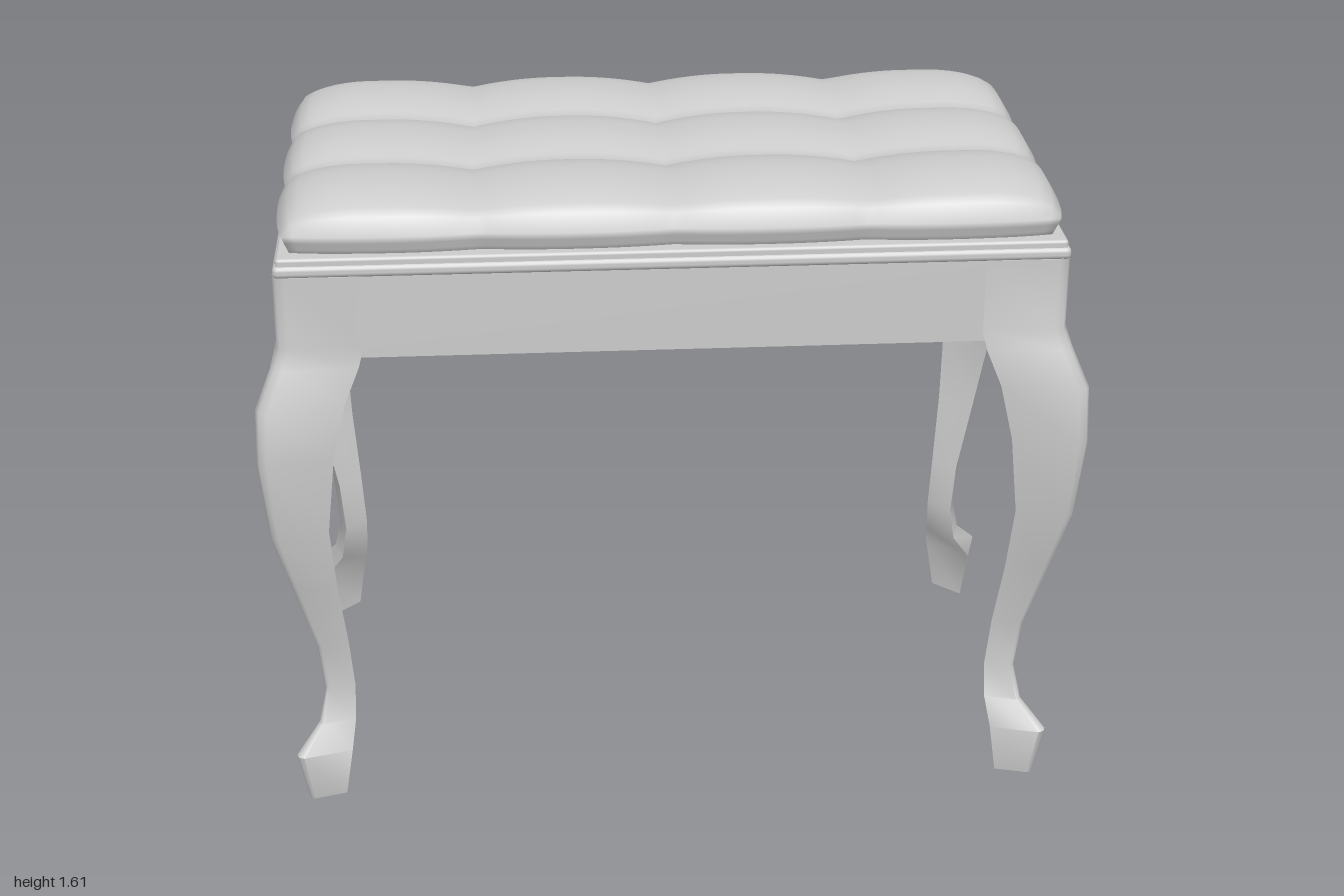
import * as THREE from 'three';
import { mergeVertices, toCreasedNormals } from 'three/addons/utils/BufferGeometryUtils.js';
import { RoundedBoxGeometry } from 'three/addons/geometries/RoundedBoxGeometry.js';

const material = new THREE.MeshStandardMaterial({ color: 0xcccccc });

function part(name, geometry, y = 0) {
  const mesh = new THREE.Mesh(geometry, material);
  mesh.name = name;
  mesh.position.y = y;
  return mesh;
}

// Cabriole leg: [height, outer, inner, slant of the two outer faces], symmetric about its diagonal
function legGeometry() {
  const sections = [
    [1.43, 0.54, 0.335, 0], [1.25, 0.54, 0.335, 0], [1.2, 0.557, 0.348, 0.08],
    [1.11, 0.595, 0.385, 0.2], [0.97, 0.6, 0.418, 0.25], [0.77, 0.58, 0.44, 0.25],
    [0.6, 0.537, 0.43, 0.25], [0.42, 0.49, 0.412, 0.25], [0.29, 0.476, 0.402, 0.25],
    [0.2, 0.495, 0.404, 0.25], [0.135, 0.553, 0.414, 0.25], [0, 0.528, 0.435, 0.25],
  ];
  const n = 5;
  const positions = [];
  const index = [];
  sections.forEach(([y, o, i, slant], k) => {
    const w = o - i;
    const a = o - slant * w;
    const r = 0.14 * w;
    const m = o - 0.3 * r;
    for (const [x, z] of [[i, a], [o - r, o], [m, m], [o, o - r], [a, i]]) positions.push(x, y, z);
    if (k === 0) return;
    for (let j = 0; j < n; j++) {
      const p = (k - 1) * n + j;
      const q = (k - 1) * n + ((j + 1) % n);
      index.push(p, p + n, q + n, p, q + n, q);
    }
  });
  const last = (sections.length - 1) * n;
  for (let j = 1; j < n - 1; j++) {
    index.push(0, j, j + 1, last, last + j + 1, last + j);
  }
  const g = new THREE.BufferGeometry();
  g.setAttribute('position', new THREE.Float32BufferAttribute(positions, 3));
  g.setIndex(index);
  return toCreasedNormals(g, 0.85);
}

// Tufted cushion: a box shaped into a padded top with grooves and rolled edges
function cushionGeometry() {
  const W = 0.935, D = 0.525;
  const box = new THREE.BoxGeometry(2 * W, 1, 2 * D, 72, 3, 44);
  box.deleteAttribute('uv');
  box.deleteAttribute('normal');
  const g = mergeVertices(box, 1e-4);
  const pos = g.attributes.position;
  const crease = (v, lines, width) =>
    Math.max(...lines.map((l) => Math.max(0, 1 - Math.abs(v - l) / width) ** 2));
  const roll = (d) => Math.sqrt(1 - (1 - THREE.MathUtils.clamp(d / 0.19, 0, 1)) ** 2);
  for (let k = 0; k < pos.count; k++) {
    const x = pos.getX(k), z = pos.getZ(k), t = pos.getY(k) + 0.5;
    const gx = crease(x, [-0.47, 0, 0.47], 0.22);
    const gz = crease(z, [-0.165, 0.165], 0.15);
    let y = 1.468 + 0.052 * t;
    if (t > 0.999) {
      const pad = roll(W - Math.abs(x)) * roll(D - Math.abs(z));
      y += pad * (0.085 - 0.024 * gx - 0.031 * gz);
    }
    // Scalloped sides, softened corners and a tucked-in lower edge
    const u = Math.abs(x) / W, v = Math.abs(z) / D;
    const tuck = 0.018 * (1 - t);
    const sx = 1 - (0.01 * gz + tuck) / W - 0.022 * v ** 6;
    const sz = 1 - (0.014 * gx + tuck) / D - 0.035 * u ** 10;
    pos.setXYZ(k, x * sx, y, z * sz);
  }
  g.computeVertexNormals();
  return g;
}

export function createModel() {
  const stool = new THREE.Group();
  stool.name = 'upholsteredBench';

  stool.add(part('cushion', cushionGeometry()));

  // Two-step moulding below the cushion
  stool.add(part('mouldingTop', new RoundedBoxGeometry(1.86, 0.03, 1.07, 2, 0.008), 1.46));
  stool.add(part('mouldingBottom', new RoundedBoxGeometry(1.875, 0.03, 1.085, 2, 0.012), 1.443));

  // Closed apron between the legs
  stool.add(part('apron', new THREE.BoxGeometry(1.85, 0.215, 1.055), 1.3275));

  // Each leg is the same shape turned to its corner
  const leg = legGeometry();
  ['frontLeftLeg', 'backLeftLeg', 'backRightLeg', 'frontRightLeg'].forEach((name, k) => {
    const mesh = part(name, leg);
    mesh.rotation.y = (k * Math.PI) / 2;
    mesh.position.x = k < 2 ? 0.4 : -0.4;
    stool.add(mesh);
  });
  return stool;
}
